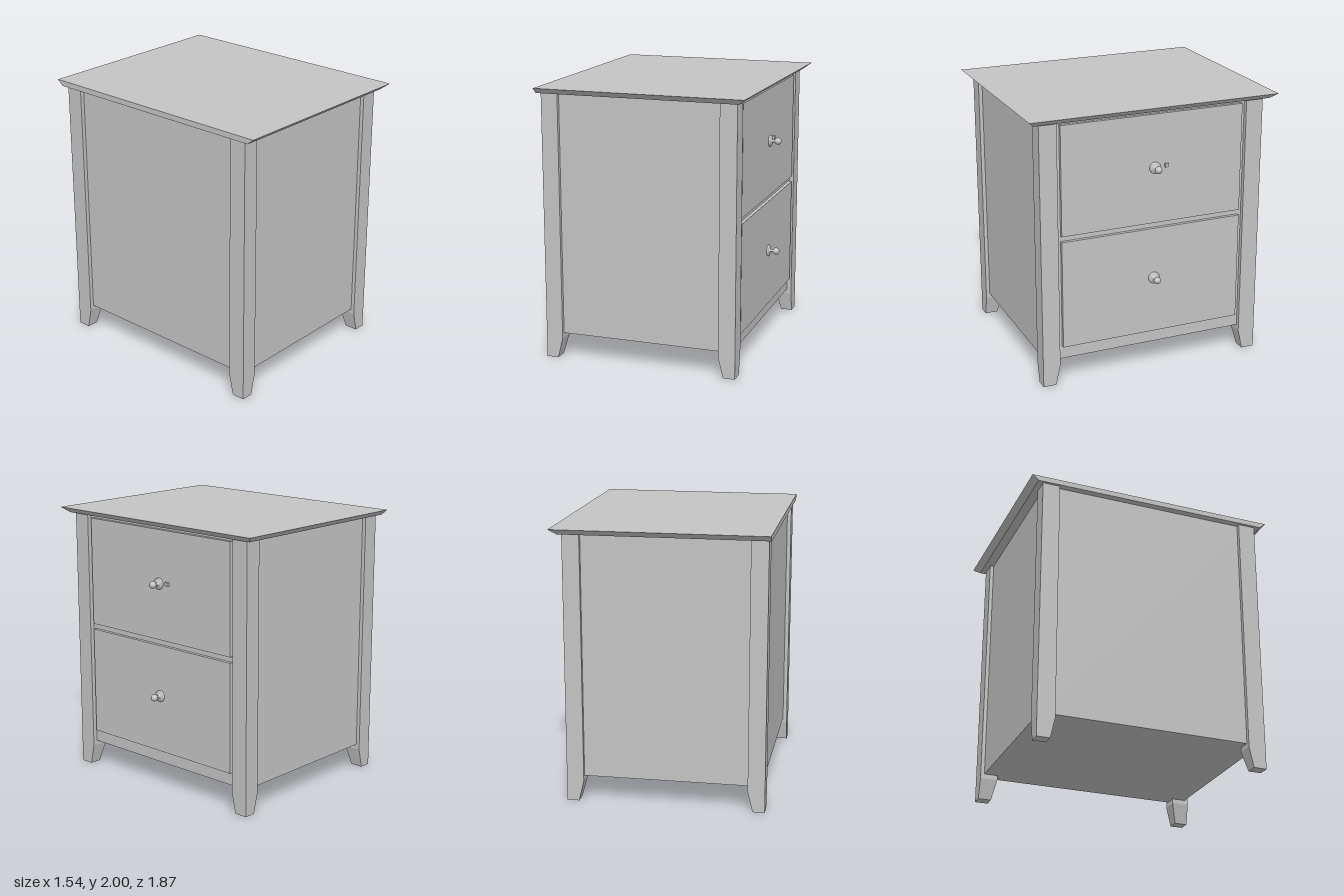
import * as THREE from 'three';

// Stretch a ring of four [x, z] corners through several heights into a closed solid.
function solidFromRings(rings) {
  const pos = [];
  const quad = (a, b, c, d) => [a, b, c, a, c, d].forEach((p) => pos.push(...p));
  const pts = rings.map(([y, x0, x1, z0, z1]) => [[x0, y, z1], [x1, y, z1], [x1, y, z0], [x0, y, z0]]);
  for (let i = 0; i < pts.length - 1; i++) {
    for (let k = 0; k < 4; k++) {
      const n = (k + 1) % 4;
      quad(pts[i][k], pts[i][n], pts[i + 1][n], pts[i + 1][k]);
    }
  }
  const b = pts[0], t = pts[pts.length - 1];
  quad(b[3], b[2], b[1], b[0]);
  quad(t[0], t[1], t[2], t[3]);
  const geo = new THREE.BufferGeometry();
  geo.setAttribute('position', new THREE.Float32BufferAttribute(pos, 3));
  geo.computeVertexNormals();
  return geo;
}

export function createModel() {
  const group = new THREE.Group();
  const grey = new THREE.MeshStandardMaterial({ color: 0xc4c4c4 });
  grey.name = 'paintedGrey';

  const add = (name, geo, parent = group) => {
    const mesh = new THREE.Mesh(geo, grey);
    mesh.name = name;
    parent.add(mesh);
    return mesh;
  };
  const box = (name, x0, x1, y0, y1, z0, z1) => {
    const mesh = add(name, new THREE.BoxGeometry(x1 - x0, y1 - y0, z1 - z0));
    mesh.position.set((x0 + x1) / 2, (y0 + y1) / 2, (z0 + z1) / 2);
    return mesh;
  };

  // Top board: bevelled underneath on three sides, square along the wall side
  add('top', solidFromRings([
    [1.96, -0.77, 0.71, -0.89, 0.89],
    [2, -0.77, 0.76, -0.937, 0.937],
  ]));

  // Cabinet body, set back behind the leg faces
  box('body', -0.72, 0.655, 0.185, 1.96, -0.822, 0.822);

  // Corner legs, tapered on their inner faces at the foot
  for (const drawerSide of [false, true]) {
    for (const s of [-1, 1]) {
      const ring = (y, wx, wz) => {
        const x = drawerSide ? [0.688 - wx, 0.688] : [-0.75, -0.75 + wx];
        const z = s > 0 ? [0.85 - wz, 0.85] : [-0.85, -0.85 + wz];
        return [y, ...x, ...z];
      };
      add('leg', solidFromRings([ring(0, 0.087, 0.097), ring(0.15, 0.124, 0.13), ring(1.96, 0.124, 0.13)]));
    }
  }

  // Drawer fronts
  const face = 0.681;
  box('upperDrawer', 0.64, face, 1.13, 1.935, -0.692, 0.692);
  box('lowerDrawer', 0.64, face, 0.282, 1.088, -0.692, 0.692);

  // Knobs: rose, stem and ball turned in one profile
  const profile = [[0.042, 0], [0.042, 0.008], [0.034, 0.013], [0.012, 0.016], [0.01, 0.036]];
  for (let i = 1; i <= 10; i++) {
    const a = -1.18 + (i / 10) * (Math.PI / 2 + 1.18);
    profile.push([Math.max(0, 0.026 * Math.cos(a)), 0.062 + 0.026 * Math.sin(a)]);
  }
  const knobGeo = new THREE.LatheGeometry(profile.map(([r, y]) => new THREE.Vector2(r, y)), 24);
  knobGeo.rotateZ(-Math.PI / 2);
  for (const y of [1.545, 0.708]) {
    add('knob', knobGeo).position.set(face, y, -0.012);
  }

  // Small square lock beside the upper knob
  box('lock', 0.67, 0.698, 1.541, 1.567, -0.111, -0.085);

  return group;
}
